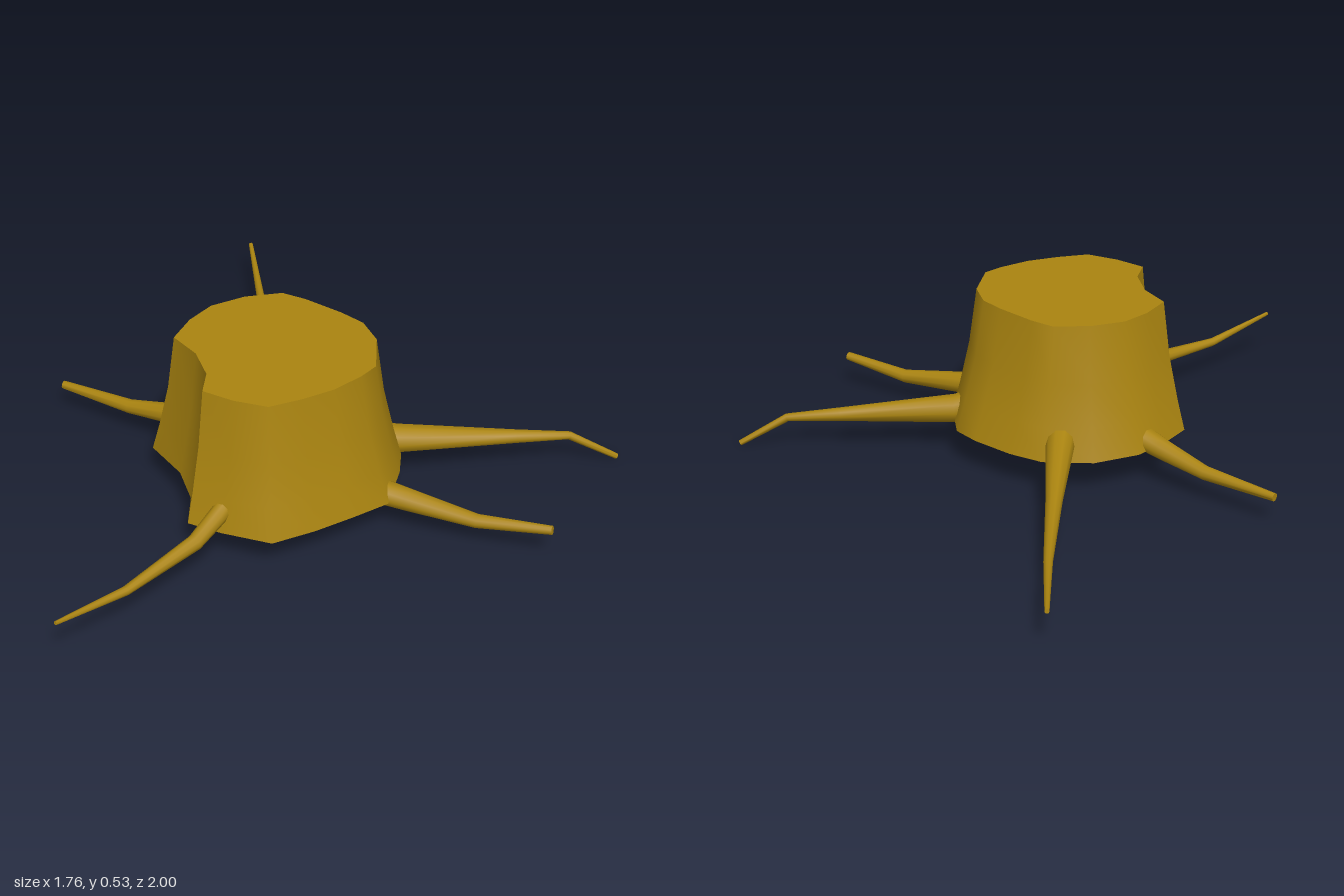
import * as THREE from 'three';
import { mergeVertices, toCreasedNormals } from 'three/addons/utils/BufferGeometryUtils.js';

const bark = new THREE.MeshStandardMaterial({ color: 0xaa8410 });

// Outlines of the trunk as [x, z], with a notch in one flank
const foot = [[-.55, .15], [-.48, .05], [-.40, -.03], [-.26, -.09], [-.10, -.085], [0, -.03],
  [.11, .06], [.17, .13], [.19, .29], [.17, .38], [.11, .53], [0, .58], [-.12, .63],
  [-.25, .67], [-.39, .60], [-.48, .54], [-.46, .42], [-.48, .29]];
const crown = [[-.475, .195], [-.42, .105], [-.35, .037], [-.245, 0], [-.13, -.005], [-.065, .04],
  [.03, .13], [.085, .195], [.11, .29], [.085, .43], [.035, .475], [-.05, .53], [-.145, .565],
  [-.245, .59], [-.34, .545], [-.42, .485], [-.40, .40], [-.42, .29]];

// Height and blend from crown (0) to foot (1)
const levels = [[.12, 1], [.22, .68], [.36, .3], [.54, 0]];

// Each root: [x, y, z, radius] from trunk to tip
const roots = {
  backRoot: [[-.165, .19, .02, .05], [-.155, .17, -.07, .045], [-.137, .12, -.34, .026], [-.12, .097, -.67, .014], [-.117, .128, -1, .007]],
  leftRoot: [[.10, .165, .24, .05], [.18, .147, .242, .046], [.55, .12, .247, .022], [.72, .107, .248, .013], [.875, .014, .25, .009]],
  frontLeftRoot: [[.09, .125, .465, .04], [.17, .115, .51, .035], [.36, .09, .61, .022], [.56, .115, .717, .014]],
  frontRightRoot: [[-.36, .19, .55, .03], [-.40, .172, .59, .028], [-.47, .137, .655, .024], [-.68, .125, .83, .014], [-.88, .165, .99, .006]],
  backRightRoot: [[-.41, .15, .04, .04], [-.47, .13, -.005, .034], [-.60, .10, -.11, .023], [-.80, .098, -.265, .013]],
};

function buildGeometry(positions, index) {
  const g = new THREE.BufferGeometry();
  g.setAttribute('position', new THREE.Float32BufferAttribute(positions, 3));
  g.setIndex(index);
  return g;
}

function trunkWall() {
  const n = foot.length, positions = [], index = [];
  for (const [y, f] of levels)
    foot.forEach(([x, z], i) => positions.push(
      THREE.MathUtils.lerp(crown[i][0], x, f), y, THREE.MathUtils.lerp(crown[i][1], z, f)));
  for (let k = 0; k < levels.length - 1; k++)
    for (let i = 0; i < n; i++) {
      const a = k * n + i, b = k * n + (i + 1) % n;
      index.push(a, a + n, b + n, a, b + n, b);
    }
  return toCreasedNormals(buildGeometry(positions, index), 0.75);
}

// Flat cap, side = 1 faces up, -1 faces down
function cap(outline, y, side) {
  const shape = new THREE.Shape(outline.map(([x, z]) => new THREE.Vector2(x, -side * z)));
  return new THREE.ShapeGeometry(shape).rotateX(-side * Math.PI / 2).translate(0, y, 0);
}

// Tapered tube through the given points, closed at both ends
function rootGeometry(points, sides = 10) {
  const p = points.map(q => new THREE.Vector3(q[0], q[1], q[2]));
  const last = p.length - 1, positions = [], index = [];
  p.forEach((c, k) => {
    const t = p[Math.min(k + 1, last)].clone().sub(p[Math.max(k - 1, 0)]).normalize();
    const u = new THREE.Vector3(0, 1, 0).cross(t).normalize();
    const v = t.clone().cross(u);
    for (let j = 0; j < sides; j++) {
      const a = j / sides * Math.PI * 2, r = points[k][3];
      const w = c.clone().addScaledVector(u, Math.cos(a) * r).addScaledVector(v, Math.sin(a) * r);
      positions.push(w.x, w.y, w.z);
    }
  });
  for (let k = 0; k < last; k++)
    for (let j = 0; j < sides; j++) {
      const a = k * sides + j, b = k * sides + (j + 1) % sides;
      index.push(a, b, a + sides, b, b + sides, a + sides);
    }
  const end = last * sides;
  for (let j = 1; j < sides - 1; j++)
    index.push(0, j + 1, j, end, end + j, end + j + 1);
  return toCreasedNormals(mergeVertices(buildGeometry(positions, index)), 0.9);
}

export function createModel() {
  const model = new THREE.Group();
  model.name = 'treeStump';
  const add = (name, geometry) => {
    const mesh = new THREE.Mesh(geometry, bark);
    mesh.name = name;
    model.add(mesh);
  };

  // Trunk
  add('trunkWall', trunkWall());
  add('cutTop', cap(crown, .54, 1));
  add('trunkBase', cap(foot, .12, -1));

  // Roots
  for (const [name, points] of Object.entries(roots)) add(name, rootGeometry(points));
  return model;
}
